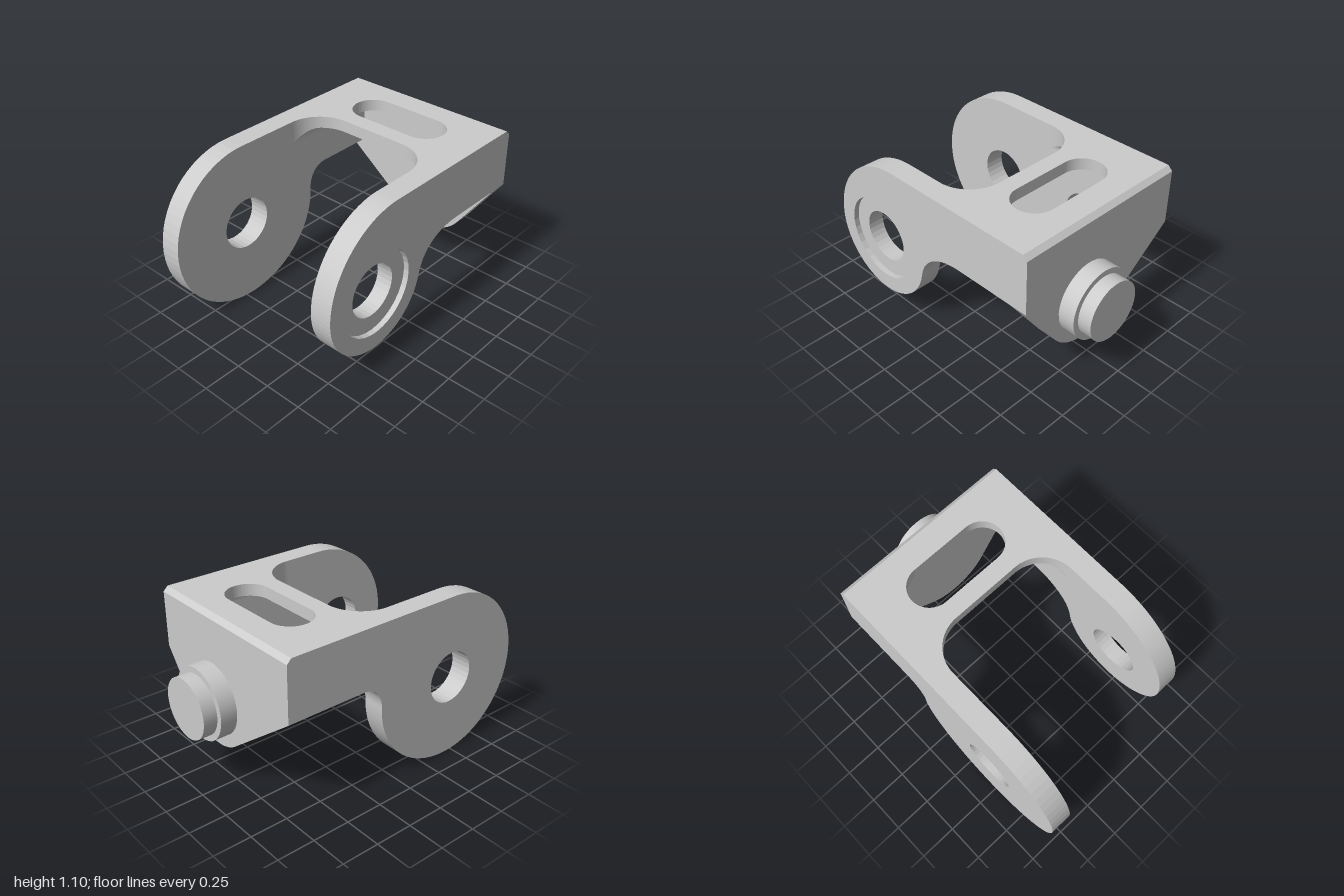
import * as THREE from 'three';

const PIVOT_Z = 0.452, PIVOT_Y = 0.548, ARM_IN = 0.468, ARM_OUT = 0.61;
const TOP = 1.096, PLATE_Y = 1.018, ARM_Y = 0.705, BACK = -0.8, BACK_IN = -0.675, CHAMFER = 0.03;

export function createModel() {
  const group = new THREE.Group();
  const material = new THREE.MeshStandardMaterial({ color: 0xcccccc });

  const add = (name, geometry) => {
    const mesh = new THREE.Mesh(geometry, material);
    mesh.name = name;
    group.add(mesh);
  };
  const extrude = (shape, depth) =>
    new THREE.ExtrudeGeometry(shape, { depth, bevelEnabled: false, curveSegments: 16 });
  // Side profile drawn as (z, y), spanning x0..x1
  const extrudeX = (shape, x0, x1) => extrude(shape, x1 - x0).rotateY(-Math.PI / 2).translate(x1, 0, 0);
  // The arm outlines run clockwise, so their holes run counterclockwise
  const drill = (shape, radius) => {
    shape.holes.push(new THREE.Path().absarc(PIVOT_Z, PIVOT_Y, radius, 0, Math.PI * 2, false));
    return shape;
  };

  // Start of both arm profiles: chamfered rear end
  const armStart = () => {
    const s = new THREE.Shape();
    s.moveTo(BACK, ARM_Y);
    s.lineTo(BACK, TOP - CHAMFER);
    s.lineTo(BACK + CHAMFER, TOP);
    return s;
  };

  // Large arm: round end, slightly fuller at the rear where it meets the fillet
  const large = armStart();
  large.absarc(PIVOT_Z, PIVOT_Y, 0.548, Math.PI / 2, -Math.PI / 2, true);
  large.absellipse(PIVOT_Z, PIVOT_Y, 0.577, 0.548, -Math.PI / 2, -Math.PI, true);
  large.bezierCurveTo(-0.125, 0.63, -0.175, ARM_Y, -0.27, ARM_Y);
  add('largeArm', extrudeX(drill(large, 0.172), -ARM_OUT, -ARM_IN));

  // Small arm, in two layers so that the outer face has a round recess
  const smallProfile = (holeRadius) => {
    const s = armStart();
    s.absarc(0.294, PIVOT_Y, 0.548, Math.PI / 2, 0, true);
    s.absarc(PIVOT_Z, PIVOT_Y, 0.39, 0, -Math.PI + 0.2, true);
    s.bezierCurveTo(0.04, 0.62, -0.09, ARM_Y, -0.27, ARM_Y);
    return drill(s, holeRadius);
  };
  const recessX = ARM_OUT - 0.035;
  add('smallArm', extrudeX(smallProfile(0.172), ARM_IN, recessX));
  add('smallArmRecessRim', extrudeX(smallProfile(0.282), recessX, ARM_OUT));

  // Top plate drawn as (x, z): rounded inner corners in front, and a slot
  const R = 0.235, cornerZ = 0.025, cornerX = ARM_IN - R;
  const plate = new THREE.Shape();
  plate.moveTo(-ARM_IN, BACK_IN);
  plate.lineTo(ARM_IN, BACK_IN);
  plate.lineTo(ARM_IN, cornerZ);
  plate.absarc(cornerX, cornerZ, R, 0, -Math.PI / 2, true);
  plate.absarc(-cornerX, cornerZ, R, -Math.PI / 2, -Math.PI, true);
  const slot = new THREE.Path();
  slot.absarc(0.206, -0.464, 0.139, -Math.PI / 2, Math.PI / 2, false);
  slot.absarc(-0.206, -0.464, 0.139, Math.PI / 2, Math.PI * 1.5, false);
  plate.holes.push(slot);
  add('topPlate', extrude(plate, TOP - PLATE_Y).rotateX(Math.PI / 2).translate(0, TOP, 0));

  // Inner fillets under the plate: a bent sheet whose rows are the front top,
  // the front bottom (along the plate's corner) and the rear
  const f = 0.08, columns = 10;
  for (const side of [1, -1]) {
    const sheet = new THREE.PlaneGeometry(1, 1, columns, 2);
    const p = sheet.attributes.position;
    for (let i = 0; i < p.count; i++) {
      const row = Math.floor(i / (columns + 1));
      const a = (0.5 + side * p.getX(i)) * Math.PI / 2;
      const x = ARM_IN - f + f * Math.sin(a), dx = x - cornerX;
      const frontZ = cornerZ - Math.sqrt(Math.max(0, R * R - dx * dx));
      const y = row === 0 ? PLATE_Y : PLATE_Y - f + f * Math.cos(a);
      p.setXYZ(i, side * x, y, row === 2 ? BACK_IN : frontZ);
    }
    const geometry = sheet.toNonIndexed();
    geometry.computeVertexNormals();
    add(side > 0 ? 'leftFillet' : 'rightFillet', geometry);
  }

  // Chamfered bar where the top plate meets the back plate
  const bar = new THREE.Shape();
  bar.moveTo(BACK, PLATE_Y);
  bar.lineTo(BACK_IN, PLATE_Y);
  bar.lineTo(BACK_IN, TOP);
  bar.lineTo(BACK + CHAMFER, TOP);
  bar.lineTo(BACK, TOP - CHAMFER);
  add('rearEdge', extrudeX(bar, -ARM_IN, ARM_IN));

  // Back plate: sides run tangent to a round end under the boss
  const bx = 0.111, by = 0.55, br = 0.313;
  const tangent = (side) => {
    const dx = side * ARM_OUT - bx, dy = ARM_Y - by;
    return Math.atan2(dy, dx) - side * Math.acos(br / Math.hypot(dx, dy));
  };
  const back = new THREE.Shape();
  back.moveTo(-ARM_IN, PLATE_Y);
  back.lineTo(-ARM_IN, ARM_Y);
  back.lineTo(-ARM_OUT, ARM_Y);
  back.absarc(bx, by, br, tangent(-1), tangent(1) + Math.PI * 2, false);
  back.lineTo(ARM_OUT, ARM_Y);
  back.lineTo(ARM_IN, ARM_Y);
  back.lineTo(ARM_IN, PLATE_Y);
  add('backPlate', extrude(back, BACK_IN - BACK).translate(0, 0, BACK));

  // Stepped round boss
  const cylinder = (name, radius, z0, z1) => {
    const g = new THREE.CylinderGeometry(radius, radius, z1 - z0, 36);
    add(name, g.rotateX(Math.PI / 2).translate(bx, by, (z0 + z1) / 2));
  };
  cylinder('bossBase', 0.233, -0.91, BACK);
  cylinder('bossTip', 0.195, -1, -0.91);

  return group;
}
